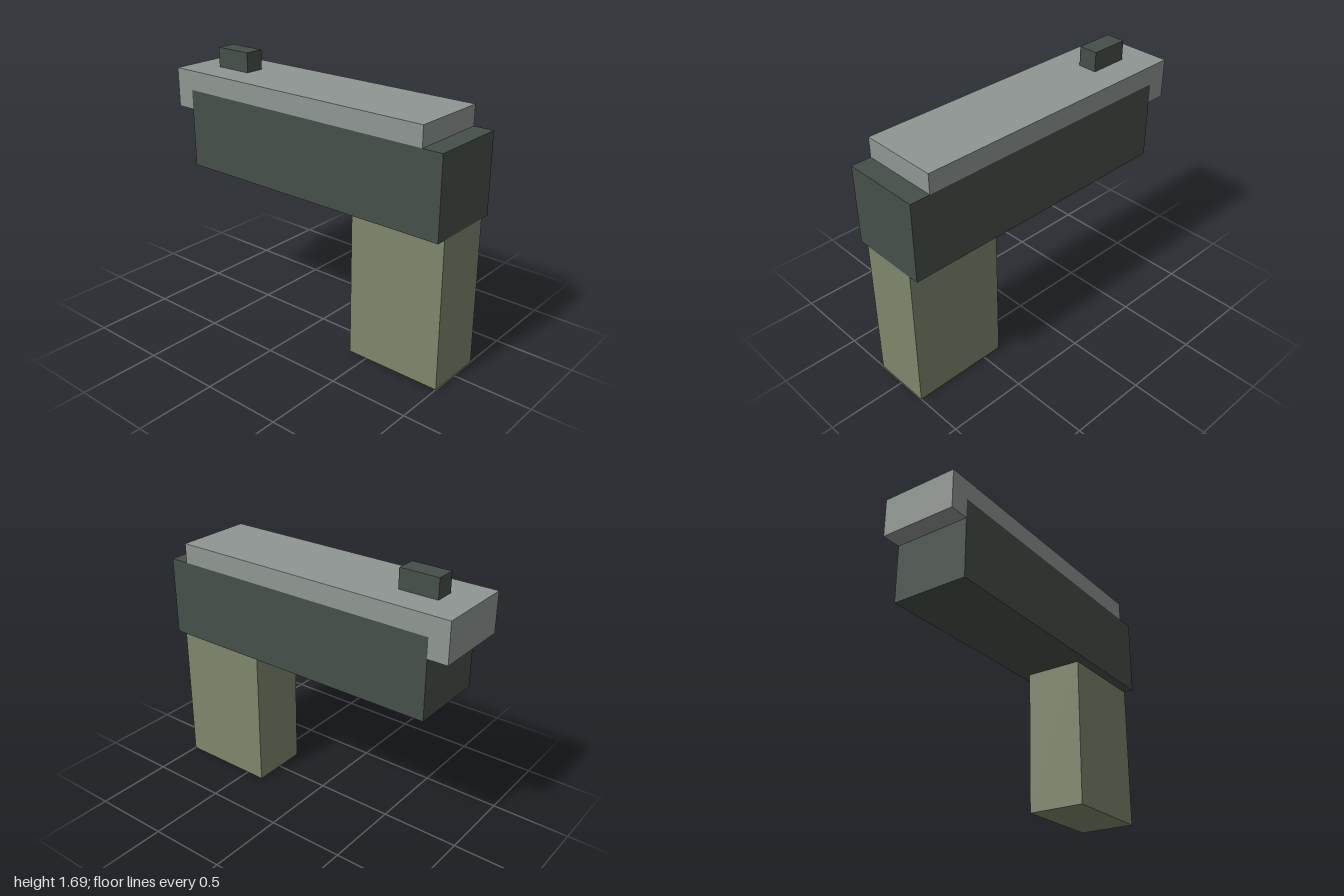
import * as THREE from 'three';

const material = (name, color) => {
  const m = new THREE.MeshStandardMaterial({ color });
  m.name = name;
  return m;
};

export function createModel() {
  const darkMetal = material('dark metal', 0x464f4a);
  const paleMetal = material('pale metal', 0x8f9692);
  const olive = material('olive grip', 0x7d876c);
  const group = new THREE.Group();

  const add = (name, geometry, mat) => {
    const mesh = new THREE.Mesh(geometry, mat);
    mesh.name = name;
    group.add(mesh);
  };

  // Box centred on x = 0, spanning y0..y1 and z0..z1
  const addBox = (name, width, y0, y1, z0, z1, mat) => {
    const geometry = new THREE.BoxGeometry(width, y1 - y0, z1 - z0);
    geometry.translate(0, (y0 + y1) / 2, (z0 + z1) / 2);
    add(name, geometry, mat);
  };

  addBox('grip', 0.375, 0, 0.9375, 0.375, 1, olive);
  addBox('body', 0.5, 0.9375, 1.4375, -0.875, 1, darkMetal);
  addBox('sight', 0.125, 1.5625, 1.6875, -0.8125, -0.5625, darkMetal);

  // Top cover with a lip hanging over the back end of the body (side profile: z, y)
  const profile = new THREE.Shape([
    [-1, 1.3125], [-0.875, 1.3125], [-0.875, 1.4375],
    [0.875, 1.4375], [0.875, 1.5625], [-1, 1.5625],
  ].map(([z, y]) => new THREE.Vector2(z, y)));
  const cover = new THREE.ExtrudeGeometry(profile, { depth: 0.5, bevelEnabled: false });
  cover.rotateY(-Math.PI / 2).translate(0.25, 0, 0);
  add('topCover', cover, paleMetal);

  return group;
}
